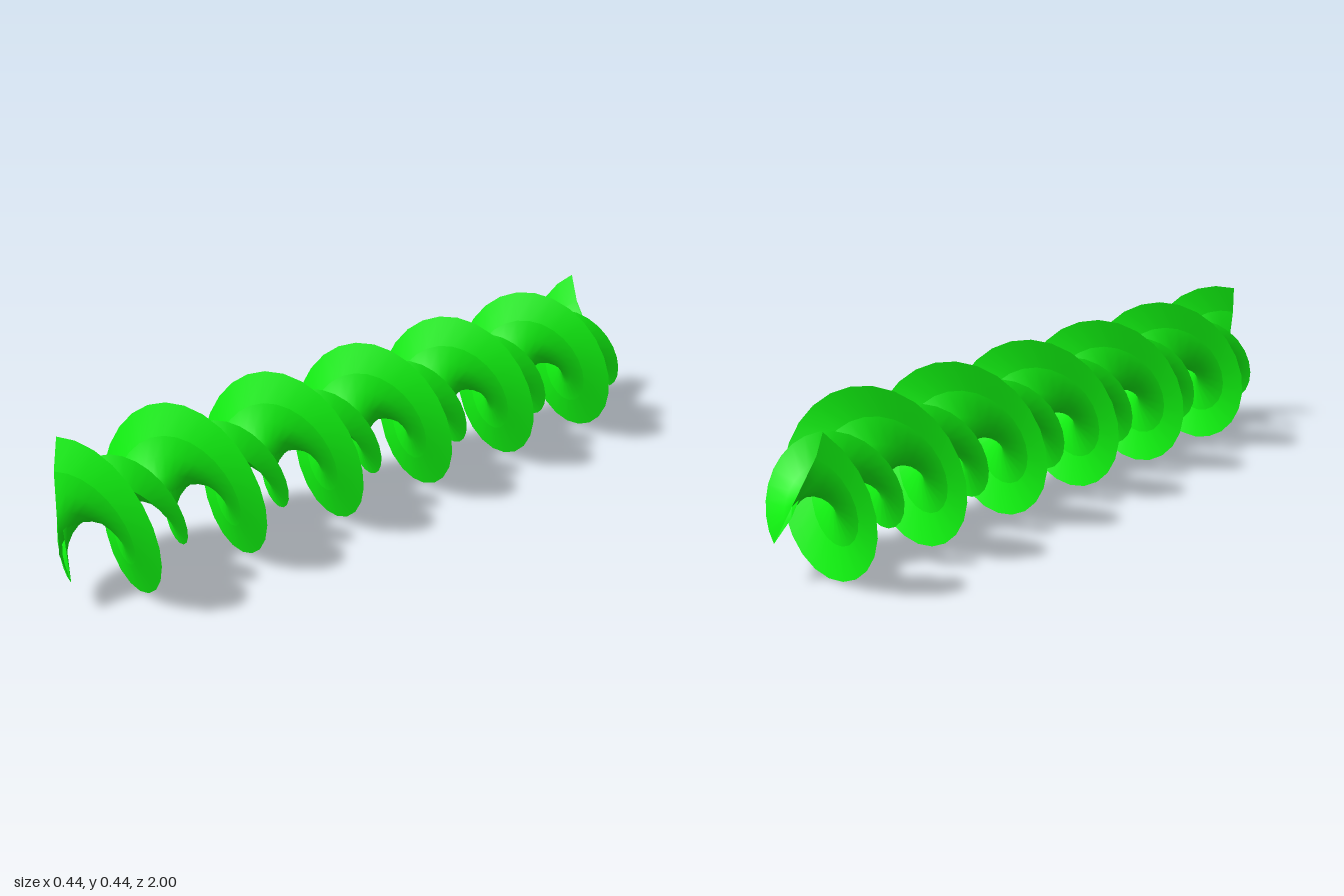
import * as THREE from 'three';

const AXIS_Y = 0.222;
const START = THREE.MathUtils.degToRad(-10);
const TURNS = 5.94;
const LENGTH = 1.955;          // axial travel of the sweep
const STEPS = Math.round(TURNS * 24);

// Profile points: [signed distance from the axis, z at the front end]
const rim = [0.22, 0.955];
const shoulder = [0.14, 0.977];
const ridge = [-0.062, 1.0];
const heel = [-0.138, 0.98];

// Sweeps one straight profile segment along the screw
function screwStrip(a, b, rows) {
  const pos = [], index = [];
  const w = rows + 1;
  for (let i = 0; i <= STEPS; i++) {
    const t = i / STEPS;
    const angle = START + t * TURNS * Math.PI * 2;
    for (let j = 0; j <= rows; j++) {
      const s = THREE.MathUtils.lerp(a[0], b[0], j / rows);
      const z = THREE.MathUtils.lerp(a[1], b[1], j / rows);
      pos.push(s * Math.sin(angle), AXIS_Y + s * Math.cos(angle), z - t * LENGTH);
      if (i < STEPS && j < rows) {
        const k = i * w + j;
        index.push(k, k + w, k + 1, k + 1, k + w, k + w + 1);
      }
    }
  }
  const geo = new THREE.BufferGeometry();
  geo.setAttribute('position', new THREE.Float32BufferAttribute(pos, 3));
  geo.setIndex(index);
  geo.computeVertexNormals();
  return geo;
}

export function createModel() {
  const group = new THREE.Group();
  group.name = 'spiralScrew';
  const material = new THREE.MeshStandardMaterial({ color: 0x10f010, side: THREE.DoubleSide });
  const add = (name, a, b, rows) => {
    const mesh = new THREE.Mesh(screwStrip(a, b, rows), material);
    mesh.name = name;
    group.add(mesh);
  };

  add('outerBlade', rim, shoulder, 1);
  // Thin hollow core: a raised front web, its outer slope and a straight back web
  add('frontWeb', shoulder, ridge, 4);
  add('innerBlade', ridge, heel, 1);
  add('backWeb', shoulder, heel, 4);
  return group;
}
